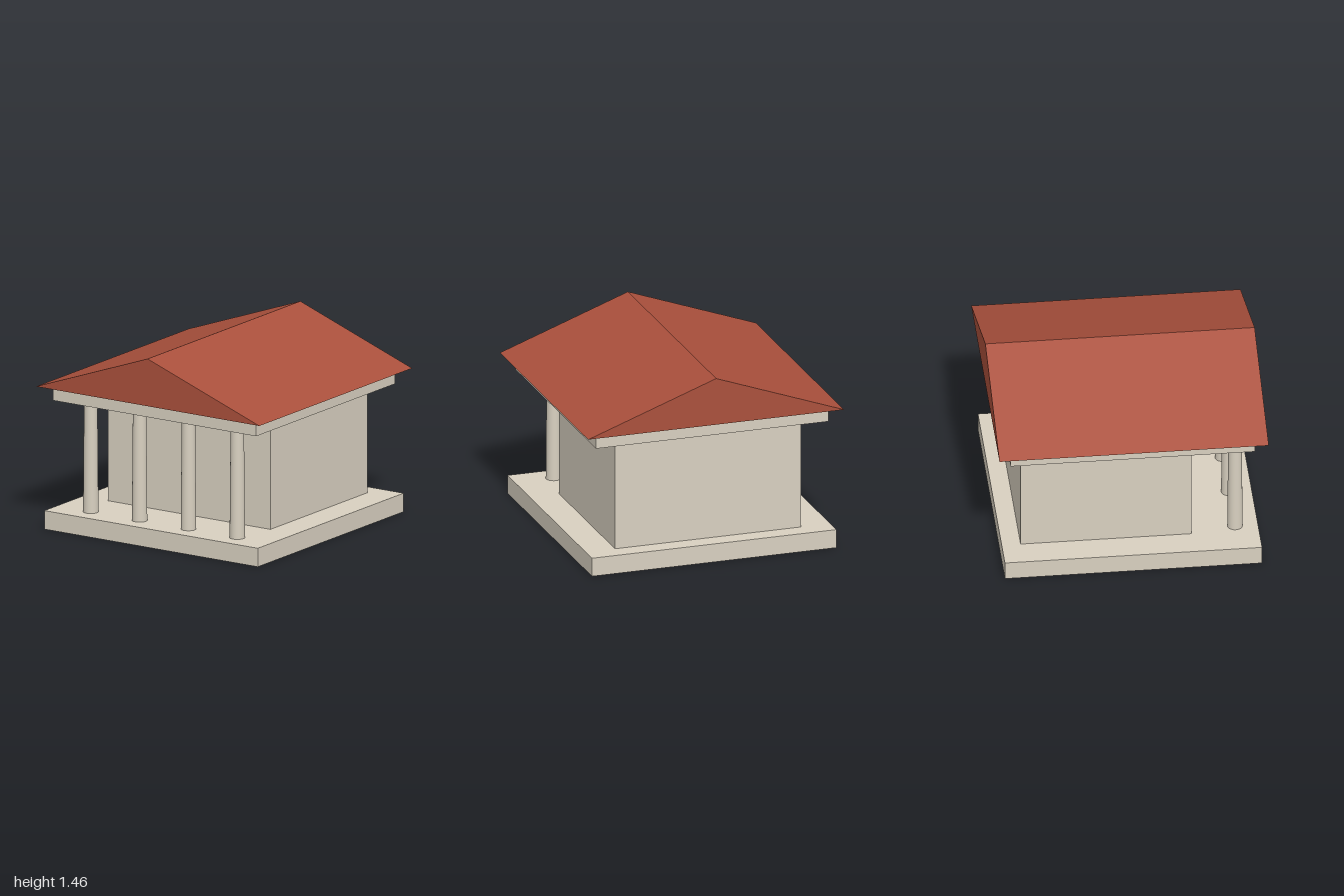
import * as THREE from 'three';

export function createModel() {
  const temple = new THREE.Group();
  temple.name = 'temple';
  const stone = new THREE.MeshStandardMaterial({ name: 'stone', color: 0xd8d0c0 });
  const tile = new THREE.MeshStandardMaterial({ name: 'roofTile', color: 0xaa503c });

  // Heights of the stacked parts
  const floorY = 0.142, beamY = 0.981, eavesY = 1.094, ridgeY = 1.456;

  function add(name, geometry, material, x, y, z) {
    const mesh = new THREE.Mesh(geometry, material);
    mesh.name = name;
    mesh.position.set(x, y, z);
    temple.add(mesh);
  }

  function addBlock(name, width, y0, y1, z0, z1) {
    const geometry = new THREE.BoxGeometry(width, y1 - y0, z1 - z0);
    add(name, geometry, stone, 0, (y0 + y1) / 2, (z0 + z1) / 2);
  }

  // Base slab, enclosed chamber and the beam under the roof
  addBlock('base', 1.91, 0, floorY, -0.955, 0.955);
  addBlock('chamber', 1.454, floorY, beamY, -0.815, 0.456);
  addBlock('entablature', 1.816, beamY, eavesY, -0.908, 0.908);

  // Row of tapered columns along the porch
  const columnHeight = beamY - floorY;
  const columnGeometry = new THREE.CylinderGeometry(0.05, 0.057, columnHeight, 24);
  for (let i = 0; i < 4; i++) {
    add('column' + (i + 1), columnGeometry, stone, (i - 1.5) * 0.437, floorY + columnHeight / 2, 0.785);
  }

  // Gabled roof with its ridge running front to back
  const gable = new THREE.Shape();
  gable.moveTo(-1, 0);
  gable.lineTo(1, 0);
  gable.lineTo(0, ridgeY - eavesY);
  gable.closePath();
  const roof = new THREE.ExtrudeGeometry(gable, { depth: 2, bevelEnabled: false });
  add('roof', roof, tile, 0, eavesY, -1);

  return temple;
}
